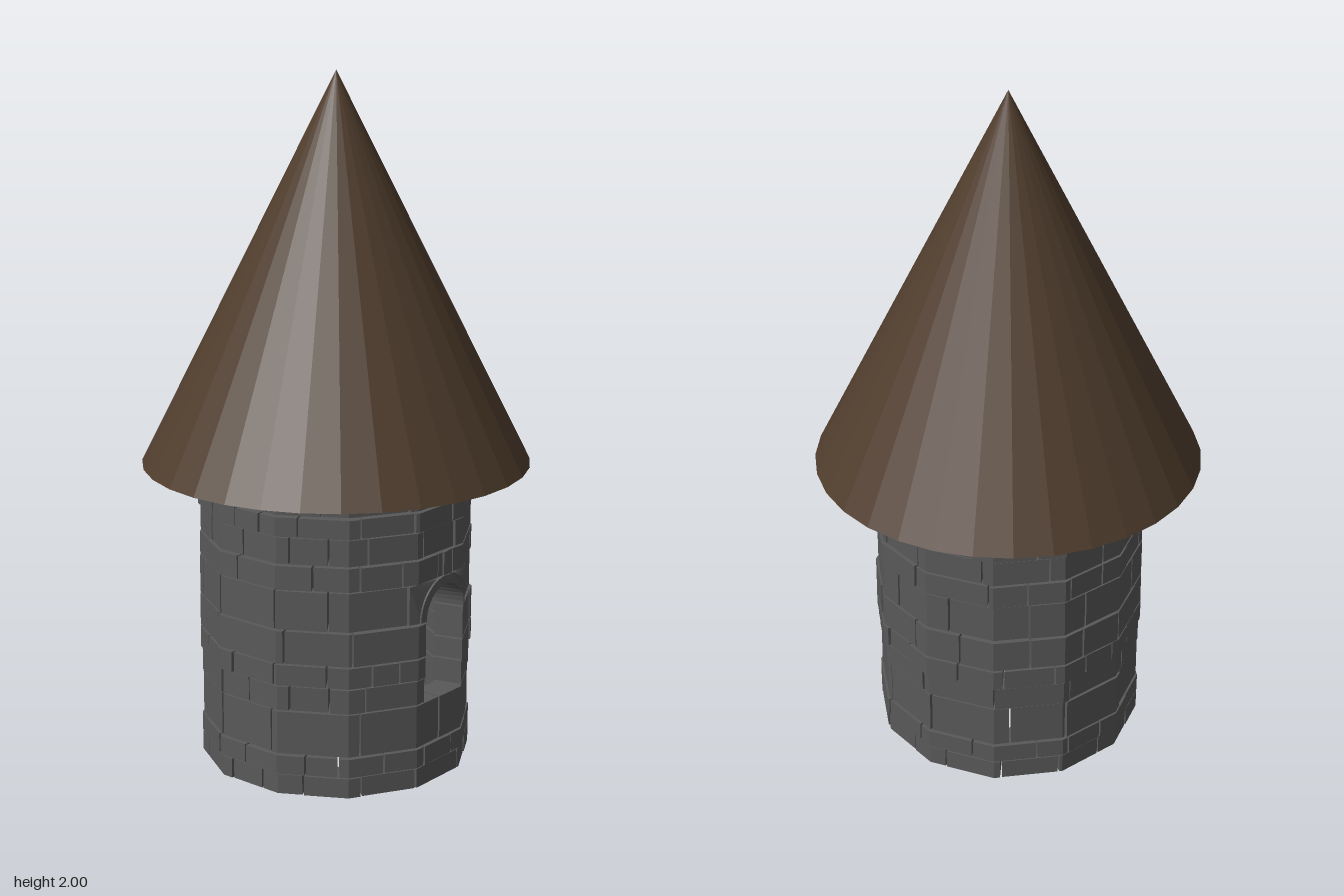
import * as THREE from 'three';
import { mergeGeometries } from 'three/addons/utils/BufferGeometryUtils.js';

const DEG = Math.PI / 180;
const OUTER = 0.397, INNER = 0.31, GAP = 0.005;
const DOOR = 18;               // doorway direction, degrees from +z towards +x
const DOOR_R = 0.09, ARCH_R = 0.118, SPRING = 0.493;

let seed = 7;
const rand = () => {
  seed = (seed * 16807) % 2147483647;
  return seed / 2147483647;
};

// radius of a twelve-sided wall at an angle in degrees
const facet = (deg, r) =>
  (r * Math.cos(15 * DEG)) / Math.cos(((((deg % 30) + 30) % 30) - 15) * DEG);

// wrap a vertex: angle in degrees, height, depth 0 (inside) to 1 (outside)
function wrap(pos, i, deg, y, depth, push) {
  const r = depth > 0.5 ? facet(deg, OUTER + push) : facet(deg, INNER + push * 0.5);
  pos.setXYZ(i, r * Math.sin(deg * DEG), y, r * Math.cos(deg * DEG));
}

function finish(geo) {
  const g = geo.index ? geo.toNonIndexed() : geo;
  g.deleteAttribute('uv');
  g.clearGroups();
  g.computeVertexNormals();
  return g;
}

// one stone, bent at each corner of the wall it passes
function stone(a0, a1, y0, y1, push) {
  const stops = [a0];
  for (let a = Math.ceil((a0 + 0.5) / 30) * 30; a < a1 - 0.5; a += 30) stops.push(a);
  stops.push(a1);
  const n = stops.length - 1;
  const geo = new THREE.BoxGeometry(1, 1, 1, n, 1, 1);
  const pos = geo.attributes.position;
  for (let i = 0; i < pos.count; i++) {
    const k = Math.round((pos.getX(i) + 0.5) * n);
    wrap(pos, i, stops[k], pos.getY(i) > 0 ? y1 : y0, pos.getZ(i) + 0.5, push);
  }
  return finish(geo);
}

// a flat outline (arc length, height) wrapped around the wall at the doorway
function wrappedShape(points, push) {
  const geo = new THREE.ExtrudeGeometry(
    new THREE.Shape(points.map(([x, y]) => new THREE.Vector2(x, y))),
    { depth: 1, bevelEnabled: false });
  const pos = geo.attributes.position;
  for (let i = 0; i < pos.count; i++) {
    wrap(pos, i, DOOR + pos.getX(i) / 0.4 / DEG, pos.getY(i), pos.getZ(i), push);
  }
  return finish(geo);
}

const arc = (r, from, to, n) => Array.from({ length: n + 1 }, (_, i) => {
  const a = (from + ((to - from) * i) / n) * DEG;
  return [r * Math.cos(a), SPRING + r * Math.sin(a)];
});

export function createModel() {
  const model = new THREE.Group();
  model.name = 'tower';
  const stoneMat = new THREE.MeshStandardMaterial({ color: 0x595959 });
  stoneMat.name = 'grey stone';
  const roofMat = new THREE.MeshStandardMaterial({ color: 0x503d2d });
  roofMat.name = 'brown roof';

  const add = (name, geo, mat) => {
    const mesh = new THREE.Mesh(geo, mat);
    mesh.name = name;
    model.add(mesh);
  };

  // stone courses: bottom, top, average stone angle, half angle left open at the doorway
  const doorHalf = DOOR_R / 0.4 / DEG;
  const courses = [
    [0, 0.06, 23, 0], [0.06, 0.12, 21, 0], [0.12, 0.25, 33, 0],
    [0.25, 0.325, 26, doorHalf], [0.325, 0.39, 19, doorHalf], [0.39, 0.49, 27, doorHalf],
    [0.49, 0.607, 28, 22], [0.607, 0.68, 24, 5], [0.68, 0.76, 24, 0],
    [0.76, 0.82, 22, 0], [0.82, 0.89, 27, 0],
  ];
  const seam = 0.4;
  courses.forEach(([y0, y1, size, open], c) => {
    const start = open ? DOOR + open : rand() * 30;
    const span = 360 - 2 * open;
    const count = Math.round(span / size);
    const widths = Array.from({ length: count }, () => 0.6 + rand() * 0.8);
    const total = widths.reduce((s, w) => s + w, 0);
    const coursePush = (rand() - 0.5) * 0.008;
    let a = start;
    const parts = widths.map((w) => {
      const a0 = a;
      a += (w / total) * span;
      return stone(a0 + seam, a - seam, y0 + (y0 ? GAP / 2 : 0), y1 - GAP / 2,
        coursePush + (rand() - 0.5) * 0.006);
    });
    // three narrow stones above the crown of the arch
    if (open === 5) {
      for (let i = -1; i < 2; i++) {
        const m = DOOR + i * 3.33;
        parts.push(stone(m - 1.45, m + 1.45, y0 + GAP / 2, y1 - GAP / 2, i ? 0 : 0.004));
      }
    }
    add(`stoneCourse${c + 1}`, mergeGeometries(parts), stoneMat);
  });

  // arch ring over the doorway
  add('doorArch', wrappedShape(
    [...arc(ARCH_R - 0.003, 0, 180, 20), ...arc(DOOR_R, 180, 0, 20)], 0.004), stoneMat);

  // stones filling the corners beside the arch
  const edge = 21.6 * DEG * 0.4, top = 0.6045;
  add('archCornerLeft', wrappedShape(
    [...arc(ARCH_R, 0, 70, 10), [0.04, top], [edge, top], [edge, SPRING]], 0), stoneMat);
  add('archCornerRight', wrappedShape(
    [...arc(ARCH_R, 110, 180, 10), [-edge, SPRING], [-edge, top], [-0.04, top]], 0), stoneMat);

  // conical roof with a flat underside
  const cone = new THREE.ConeGeometry(0.56, 1.115, 32);
  cone.translate(0, 0.885 + 1.115 / 2, 0);
  add('roof', finish(cone), roofMat);

  return model;
}
